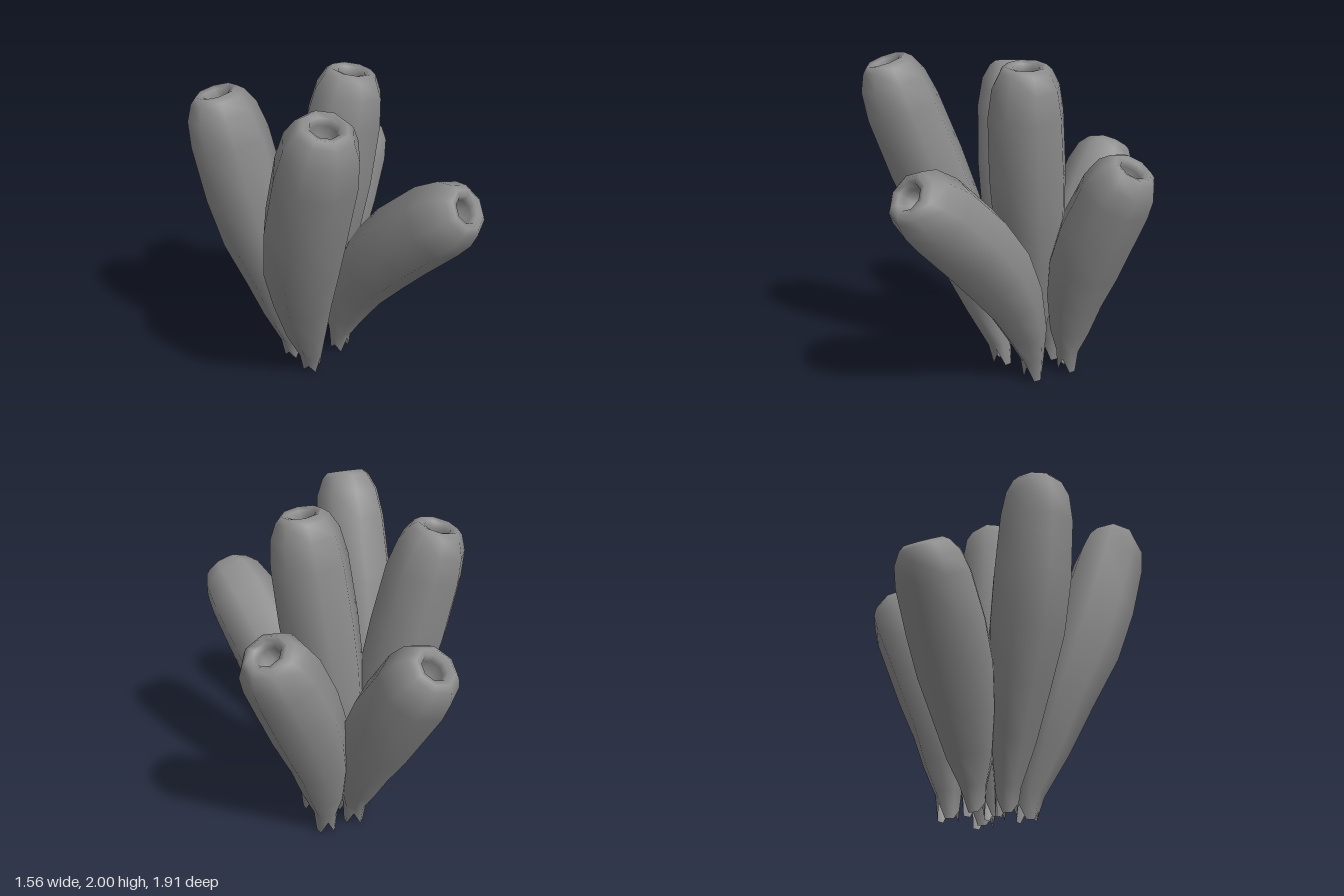
import * as THREE from 'three';

const SIDES = 8;

// Radius along the stalk: [fraction of length, radius]
const PROFILE = [[0.04, 0.075], [0.2, 0.13], [0.36, 0.182], [0.52, 0.222], [0.68, 0.232], [0.86, 0.222], [0.94, 0.196], [0.985, 0.15], [1, 0.115]];
// Mouth: [distance back from the tip, radius]
const MOUTH = [[0.012, 0.078], [0.05, 0.068], [0.13, 0.062], [0.13, 0.001]];
// Height of each root point: ragged, mostly on the ground
const ROOT = [0, 0.09, 0, 0, 0.05, 0, 0.1, 0];

// Centre line of each tube, from root to mouth
const TUBES = [
  { name: 'frontTube', spin: 0, path: [[0.13, 0, 0], [0.12, 0.22, 0.03], [0.11, 0.48, 0.105], [0.08, 0.87, 0.335], [0.05, 1.245, 0.69], [0.035, 1.395, 0.885]] },
  { name: 'tallRightTube', spin: 0.3, path: [[-0.15, 0, -0.02], [-0.31, 0.6, 0.05], [-0.465, 1.1, 0.17], [-0.575, 1.7, 0.36], [-0.61, 1.965, 0.44]] },
  { name: 'backRightTube', spin: 0.1, path: [[-0.11, 0, -0.2], [-0.2, 0.6, -0.25], [-0.305, 1.1, -0.32], [-0.39, 1.65, -0.395], [-0.42, 1.88, -0.44]] },
  { name: 'centreTube', spin: 0.2, path: [[-0.02, 0, -0.15], [0.015, 0.6, -0.115], [0.055, 1.1, -0.04], [0.095, 1.7, 0.04], [0.12, 1.96, 0.07]] },
  { name: 'backTube', spin: 0, path: [[0.04, 0, -0.28], [0.05, 0.4, -0.345], [0.06, 0.85, -0.53], [0.07, 1.17, -0.72], [0.07, 1.355, -0.85]] },
  { name: 'leftTube', spin: 0.2, path: [[0.225, 0, -0.22], [0.265, 0.48, -0.22], [0.38, 0.87, -0.21], [0.54, 1.22, -0.21], [0.655, 1.42, -0.22]] },
];

function tubeGeometry(path, spin) {
  const curve = new THREE.CatmullRomCurve3(path.map((p) => new THREE.Vector3(...p)));
  const positions = [];
  const index = [];

  // Ring of points square to the centre line
  const addRing = (centre, tangent, radius) => {
    const e1 = new THREE.Vector3(1, 0, 0).addScaledVector(tangent, -tangent.x).normalize();
    const e2 = new THREE.Vector3().crossVectors(tangent, e1);
    for (let j = 0; j < SIDES; j++) {
      const a = (j / SIDES) * Math.PI * 2 + spin;
      const p = centre.clone().addScaledVector(e1, Math.cos(a) * radius).addScaledVector(e2, Math.sin(a) * radius);
      positions.push(p.x, p.y, p.z);
    }
  };

  // Ragged root
  ROOT.forEach((y, j) => {
    const a = (j / SIDES) * Math.PI * 2 + spin;
    positions.push(path[0][0] + Math.cos(a) * 0.06, y, path[0][2] - Math.sin(a) * 0.06);
  });
  for (const [t, r] of PROFILE) {
    const centre = curve.getPointAt(t);
    if (t < 0.1) centre.y = 0.15;
    addRing(centre, curve.getTangentAt(t), r);
  }

  // Sunken mouth
  const tip = curve.getPointAt(1);
  const dir = curve.getTangentAt(1);
  for (const [d, r] of MOUTH) addRing(tip.clone().addScaledVector(dir, -d), dir, r);

  const rings = positions.length / 3 / SIDES;
  for (let i = 0; i < rings - 1; i++) {
    for (let j = 0; j < SIDES; j++) {
      const k = (j + 1) % SIDES;
      const a = i * SIDES + j, b = i * SIDES + k, c = a + SIDES, d = b + SIDES;
      index.push(a, b, c, b, d, c);
    }
  }
  const geometry = new THREE.BufferGeometry();
  geometry.setAttribute('position', new THREE.Float32BufferAttribute(positions, 3));
  geometry.setIndex(index);
  geometry.computeVertexNormals();
  return geometry;
}

export function createModel() {
  const group = new THREE.Group();
  group.name = 'tubeCluster';
  const material = new THREE.MeshStandardMaterial({ color: 0x8c8c8c, side: THREE.DoubleSide });
  material.name = 'grey';
  for (const { name, path, spin } of TUBES) {
    const mesh = new THREE.Mesh(tubeGeometry(path, spin), material);
    mesh.name = name;
    group.add(mesh);
  }
  return group;
}
